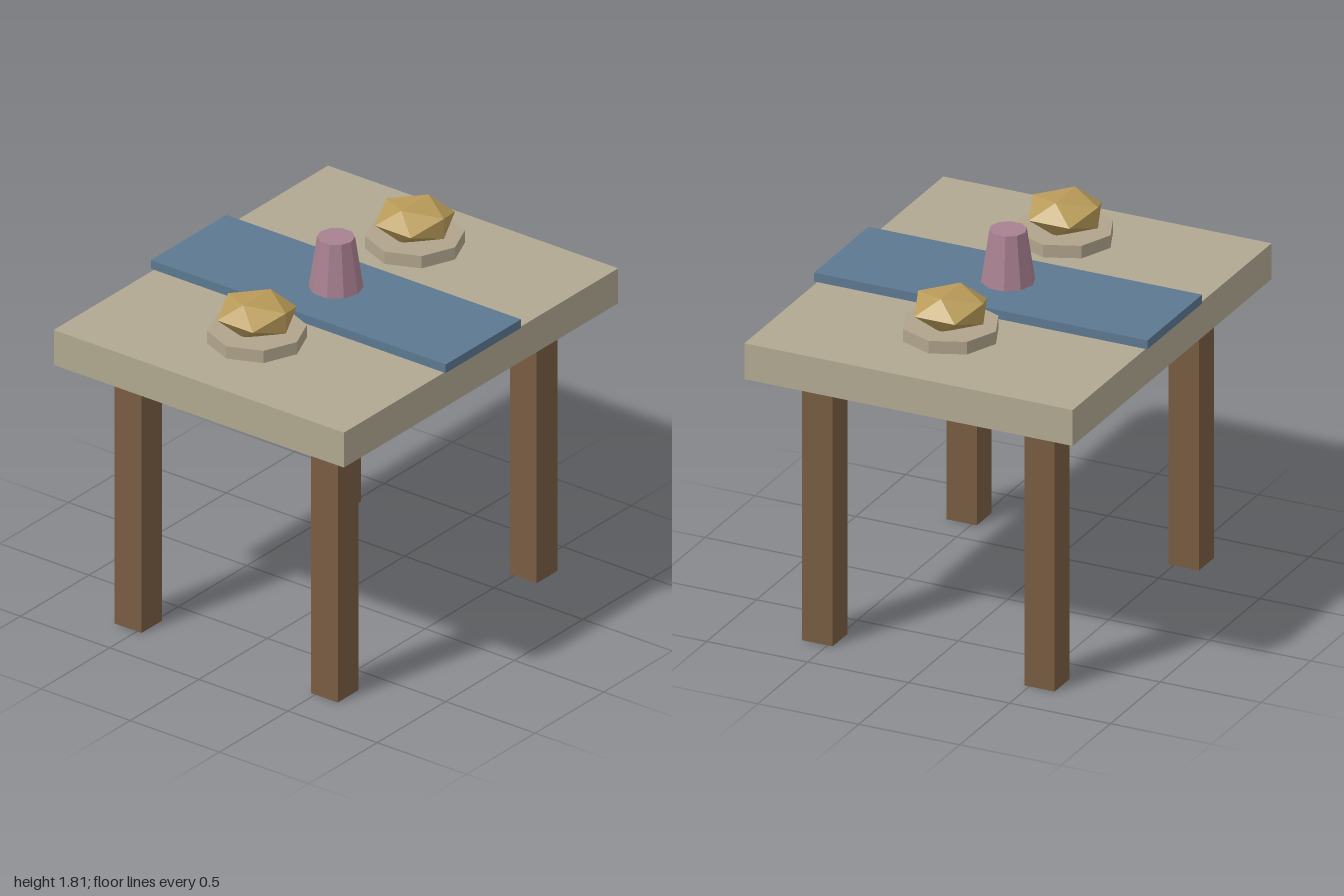
import * as THREE from 'three';

const material = (color) => new THREE.MeshStandardMaterial({ color, flatShading: true });

export function createModel() {
  const model = new THREE.Group();
  model.name = 'laidTable';

  const stone = material(0xb0a890);
  const wood = material(0x785c42);
  const cloth = material(0x5c7890);
  const plateClay = material(0xb0a48c);
  const crust = material(0xb89a58);
  const mauve = material(0xa88090);

  function add(name, geometry, mat, x, y, z, parent = model) {
    const mesh = new THREE.Mesh(geometry, mat);
    mesh.name = name;
    mesh.position.set(x, y, z);
    parent.add(mesh);
    return mesh;
  }

  // Thick slab and the runner that overhangs it slightly front and back
  add('tableTop', new THREE.BoxGeometry(2, 0.175, 1.626), stone, 0, 1.405, 0);
  add('tableRunner', new THREE.BoxGeometry(0.55, 0.043, 1.652), cloth, 0, 1.518, 0);

  // Four square legs, set in from the corners
  const legGeometry = new THREE.BoxGeometry(0.15, 1.318, 0.15);
  for (const x of [-0.725, 0.725]) {
    for (const z of [-0.55, 0.55]) {
      const side = x > 0 ? 'Left' : 'Right';
      add((z > 0 ? 'front' : 'back') + side + 'Leg', legGeometry, wood, x, 0.659, z);
    }
  }

  // Ten-sided tapered cup in the middle
  add('cup', new THREE.CylinderGeometry(0.085, 0.122, 0.25, 10), mauve, 0, 1.681, 0);

  // A faceted loaf on an eight-sided plate at each end
  const plateGeometry = new THREE.CylinderGeometry(0.224, 0.224, 0.061, 8);
  const loafGeometry = new THREE.IcosahedronGeometry(0.19, 0).scale(1, 0.5, 1);
  for (const x of [-0.576, 0.576]) {
    const serving = new THREE.Group();
    serving.name = x > 0 ? 'leftServing' : 'rightServing';
    serving.position.x = x;
    model.add(serving);
    add('plate', plateGeometry, plateClay, 0, 1.555, 0, serving);
    add('loaf', loafGeometry, crust, 0, 1.658, 0, serving);
  }

  return model;
}
